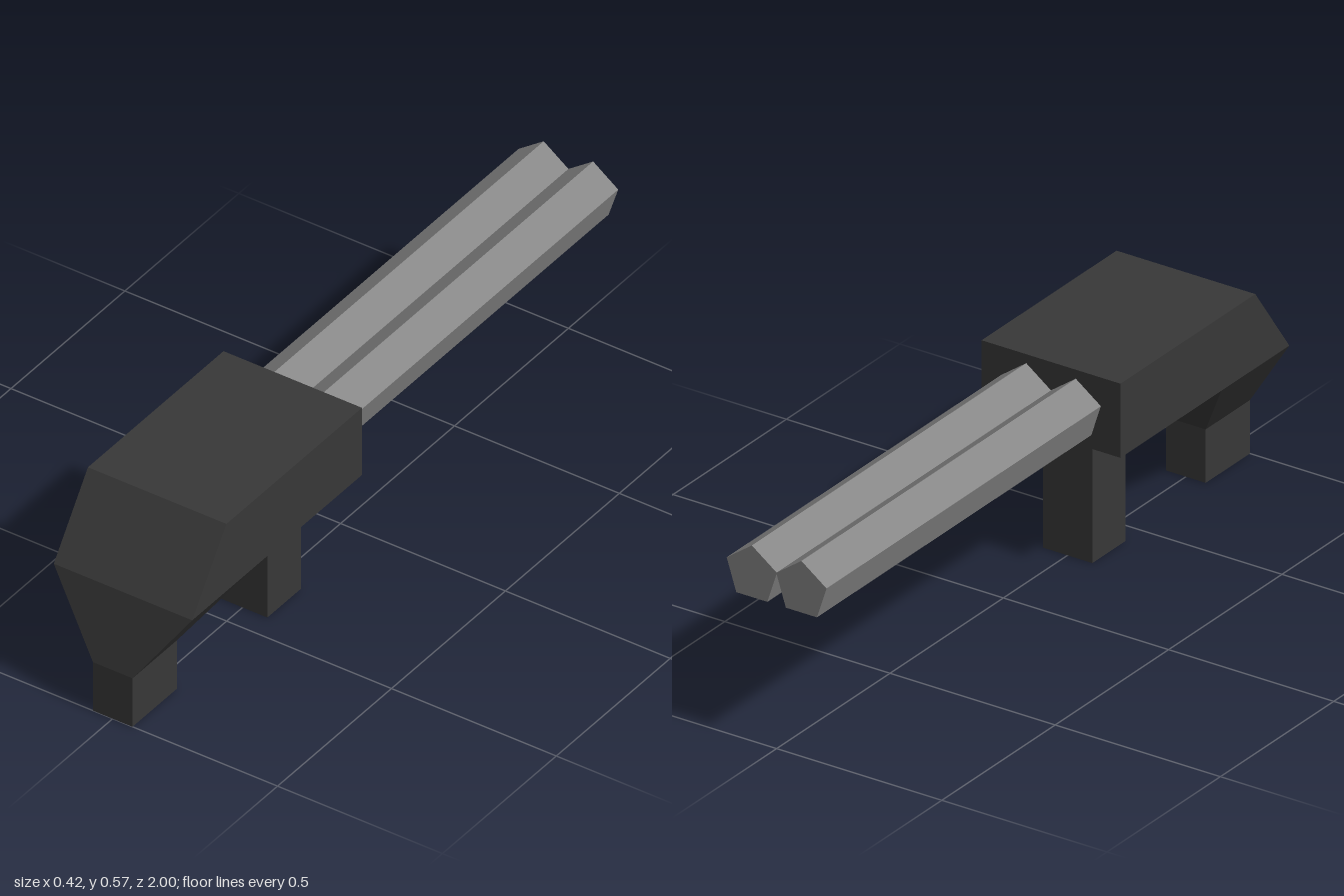
import * as THREE from 'three';

const HULL_BOTTOM = 0.365;

export function createModel() {
  const dark = new THREE.MeshStandardMaterial({ color: 0x383838 });
  dark.name = 'dark metal';
  const grey = new THREE.MeshStandardMaterial({ color: 0x868686 });
  grey.name = 'grey metal';

  const model = new THREE.Group();
  model.name = 'doubleBarrelWeapon';
  const add = (name, geometry, material) => {
    const flat = geometry.index ? geometry.toNonIndexed() : geometry;
    flat.computeVertexNormals();
    const mesh = new THREE.Mesh(flat, material);
    mesh.name = name;
    model.add(mesh);
    return mesh;
  };

  // Block with rectangular ends: each end is { y, w, z0, z1 }
  const taperedBlock = (bottom, top) => {
    const geometry = new THREE.BoxGeometry(1, 1, 1);
    const p = geometry.attributes.position;
    for (let i = 0; i < p.count; i++) {
      const end = p.getY(i) > 0 ? top : bottom;
      p.setXYZ(i, p.getX(i) * end.w, end.y, p.getZ(i) > 0 ? end.z1 : end.z0);
    }
    return geometry;
  };

  // Housing: side profile (z, y) extruded across the width
  const profile = new THREE.Shape([
    [0.21, HULL_BOTTOM], [0.955, HULL_BOTTOM], [0.805, 0.573], [0.21, 0.573],
  ].map(([z, y]) => new THREE.Vector2(z, y)));
  const housing = new THREE.ExtrudeGeometry(profile, { depth: 0.42, bevelEnabled: false });
  housing.translate(0, 0, -0.21).rotateY(-Math.PI / 2);
  add('housing', housing, dark);

  // Flared stock neck and its foot
  const neckEnd = { y: 0.15, w: 0.12, z0: 0.805, z1: 1 };
  add('stockNeck', taperedBlock(neckEnd, { y: HULL_BOTTOM, w: 0.42, z0: 0.655, z1: 0.955 }), dark);
  add('stockFoot', taperedBlock({ ...neckEnd, y: 0 }, neckEnd), dark);

  // Grip under the housing
  const grip = { w: 0.15, z0: 0.283, z1: 0.43 };
  add('grip', taperedBlock({ ...grip, y: 0 }, { ...grip, y: HULL_BOTTOM }), dark);

  // Two five-sided barrels
  for (const side of [-1, 1]) {
    const barrel = new THREE.CylinderGeometry(0.08, 0.08, 1.21, 5).rotateX(-Math.PI / 2);
    const mesh = add(side > 0 ? 'leftBarrel' : 'rightBarrel', barrel, grey);
    mesh.position.set(side * 0.075, 0.468, -0.395);
  }
  return model;
}
